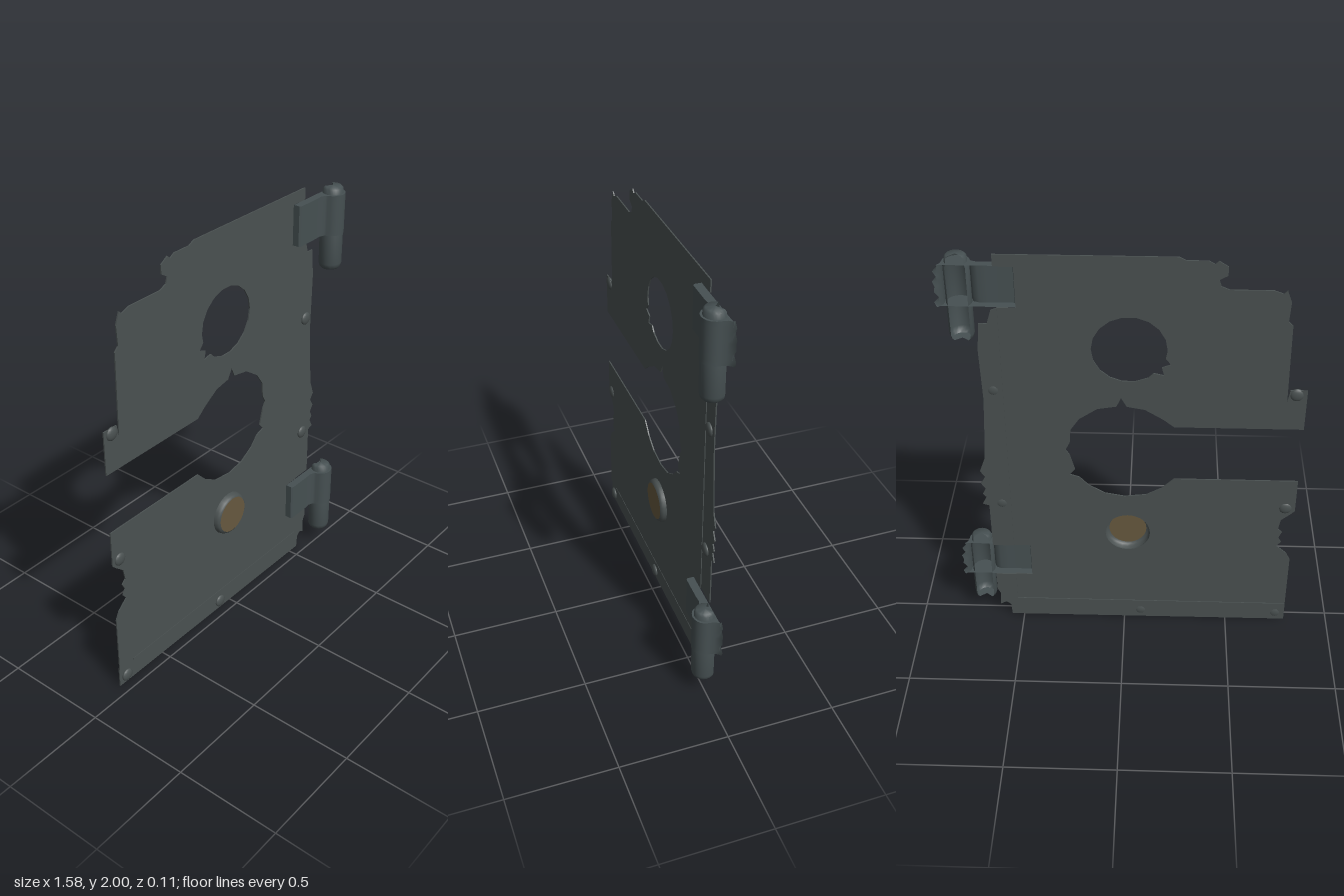
import * as THREE from 'three';
import { toCreasedNormals } from 'three/addons/utils/BufferGeometryUtils.js';

const mat = (name, color) => {
  const m = new THREE.MeshStandardMaterial({ color, side: THREE.DoubleSide });
  m.name = name;
  return m;
};
const steel = mat('dark steel', 0x4a5151);
const hingeSteel = mat('hinge steel', 0x465052);
const brass = mat('dull brass', 0x67593f);

function add(parent, name, geometry, material, x = 0, y = 0, z = 0) {
  const mesh = new THREE.Mesh(geometry, material);
  mesh.name = name;
  mesh.position.set(x, y, z);
  parent.add(mesh);
  return mesh;
}
const toPoints = (list) => list.map(([x, y]) => new THREE.Vector2(x, y));

// Thin sheet metal cut to an outline
function sheet(parent, name, outline, z, holes = []) {
  const shape = new THREE.Shape(toPoints(outline));
  shape.holes = holes;
  const geo = new THREE.ExtrudeGeometry(shape, { depth: 0.006, bevelEnabled: false, curveSegments: 20 });
  return add(parent, name, geo, steel, 0, 0, z);
}

// Pressed hinge plate: an x/z profile swept up y, open at the back, with a torn outer edge
function hingePlate() {
  const profile = [[0.45, -0.045], [0.45, -0.01], [0.458, -0.003], [0.57, -0.003], [0.605, -0.005], [0.628, 0.004]];
  for (let i = 0; i <= 12; i++) {
    const a = Math.PI * (0.93 - 0.93 * i / 12);
    profile.push([0.69 + 0.058 * Math.cos(a), 0.057 * Math.sin(a)]);
  }
  profile.push([0.752, -0.025], [0.765, -0.042], [0.775, -0.05]);
  const torn = [0, 0, 0.01, -0.012, 0.006, 0.002, 0.01, -0.008, 0.005, -0.015, -0.015];
  const height = 0.19, rows = torn.length, cols = profile.length;
  const pos = [], index = [];
  for (let r = 0; r < rows; r++) {
    // first and last rows fold back to close the ends
    const end = r === 0 || r === rows - 1;
    const y = height * THREE.MathUtils.clamp((r - 1) / (rows - 3), 0, 1);
    profile.forEach(([x, z], c) => {
      pos.push(x + (c === cols - 1 ? torn[r] : 0), y, end ? Math.min(z, -0.04) : z);
      if (r && c) {
        const d = r * cols + c;
        index.push(d - cols - 1, d - cols, d, d - cols - 1, d, d - 1);
      }
    });
  }
  const geo = new THREE.BufferGeometry();
  geo.setAttribute('position', new THREE.Float32BufferAttribute(pos, 3));
  geo.setIndex(index);
  return toCreasedNormals(geo, 0.7);
}

export function createModel() {
  const model = new THREE.Group();
  model.name = 'brokenDoorPlate';

  // Main panel with torn corners, keyhole slot and hinge notches
  const outline = [
    [-0.79, 0.11], [-0.79, 0.40], [-0.77, 0.44], [-0.72, 0.485], [-0.74, 0.51], [-0.725, 0.535],
    [-0.74, 0.57], [-0.72, 0.59], [-0.73, 0.645], [-0.77, 0.68], [-0.79, 0.70], [-0.79, 0.875],
    [-0.225, 0.875], [-0.17, 0.82], [-0.1, 0.78], [0, 0.768], [0.09, 0.785], [0.165, 0.83],
    [0.205, 0.875], [0.25, 0.89], [0.225, 0.92], [0.247, 1.0], [0.265, 1.03], [0.245, 1.07],
    [0.24, 1.14], [0.2, 1.2], [0.12, 1.255], [0.035, 1.27], [0.015, 1.315], [-0.01, 1.27],
    [-0.09, 1.255], [-0.17, 1.205], [-0.22, 1.165], [-0.79, 1.165], [-0.79, 1.37], [-0.715, 1.37],
    [-0.705, 1.31], [-0.70, 1.69], [-0.68, 1.71], [-0.685, 1.80], [-0.665, 1.855], [-0.65, 1.84],
    [-0.61, 1.855], [-0.43, 1.855], [-0.395, 1.87], [-0.385, 1.90], [-0.42, 1.92], [-0.42, 1.96],
    [-0.38, 1.985], [-0.365, 1.97], [-0.34, 1.985], [-0.25, 1.985], [-0.22, 2.0], [0.535, 2.0],
    [0.535, 1.945], [0.45, 1.945], [0.45, 1.755], [0.53, 1.755], [0.53, 0.455], [0.45, 0.455],
    [0.45, 0.27], [0.53, 0.27], [0.53, 0.11],
  ];
  const window_ = [];
  for (let i = 0; i < 18; i++) {
    const a = i * Math.PI / 9;
    window_.push([-0.02 + 0.163 * Math.cos(a), 1.56 + 0.16 * Math.sin(a)]);
  }
  window_.splice(10, 2, [-0.175, 1.52], [-0.2, 1.49], [-0.16, 1.475], [-0.17, 1.435], [-0.125, 1.445]);
  const knobHole = new THREE.Path().absarc(-0.015, 0.55, 0.105, 0, Math.PI * 2);
  sheet(model, 'mainPanel', outline, -0.047, [new THREE.Path(toPoints(window_)), knobHole]);

  // Lower flange and the torn flange on the hinge side
  sheet(model, 'bottomFlange', [[-0.79, 0.01], [0.56, 0.005], [0.565, 0.07], [0.53, 0.112], [-0.79, 0.112]], -0.051);
  sheet(model, 'hingeFlangeUpper', [
    [0.528, 0.455], [0.63, 0.455], [0.63, 0.7], [0.66, 0.71], [0.64, 0.75], [0.655, 0.77], [0.64, 0.8],
    [0.66, 0.83], [0.638, 0.87], [0.66, 0.9], [0.635, 0.97], [0.625, 1.1], [0.615, 1.3], [0.622, 1.55],
    [0.61, 1.68], [0.575, 1.68], [0.555, 1.745], [0.528, 1.755],
  ], -0.051);
  sheet(model, 'hingeFlangeLower', [
    [0.528, 0.27], [0.528, 0.1], [0.562, 0.065], [0.585, 0.085], [0.615, 0.07], [0.61, 0.14], [0.625, 0.17], [0.625, 0.27],
  ], -0.051);

  // Folded bead along the bottom of the panel
  add(model, 'bottomBead', new THREE.BoxGeometry(1.23, 0.01, 0.008), steel, -0.085, 0.114, -0.043);

  // Rivets
  const rivet = new THREE.SphereGeometry(0.031, 16, 10).scale(1, 1, 0.42);
  for (const [x, y] of [[-0.745, 1.345], [-0.745, 0.715], [-0.745, 0.05], [-0.08, 0.05], [0.57, 1.345], [0.57, 0.715]])
    add(model, 'rivet', rivet, steel, x, y, -0.042);

  // Pressed knob, hollow behind, with a brass face
  const knob = new THREE.Group();
  knob.name = 'knob';
  knob.position.set(-0.015, 0.55, 0);
  model.add(knob);
  const rim = new THREE.LatheGeometry(toPoints([[0.107, -0.046], [0.104, -0.028], [0.098, -0.018], [0.088, -0.013]]), 24);
  add(knob, 'knobRim', rim.rotateX(Math.PI / 2), steel);
  add(knob, 'knobFace', new THREE.CircleGeometry(0.09, 24), brass, 0, 0, -0.013);

  // Two hinges: pressed plate wrapped round a half-open pin
  const plate = hingePlate();
  const pinProfile = toPoints([[0, 0], [0.04, 0.002], [0.05, 0.014], [0.054, 0.03], [0.055, 0.35],
    [0.048, 0.365], [0.046, 0.388], [0.038, 0.396], [0, 0.398]]);
  const pin = toCreasedNormals(new THREE.LatheGeometry(pinProfile, 20, -Math.PI * 0.72, Math.PI * 1.44), 0.8);
  for (const y of [0.09, 1.58]) {
    const hinge = new THREE.Group();
    hinge.name = 'hinge';
    hinge.position.y = y;
    add(hinge, 'hingePlate', plate, hingeSteel, 0, 0.175, 0);
    add(hinge, 'hingePin', pin, hingeSteel, 0.69, 0, 0);
    model.add(hinge);
  }
  return model;
}
